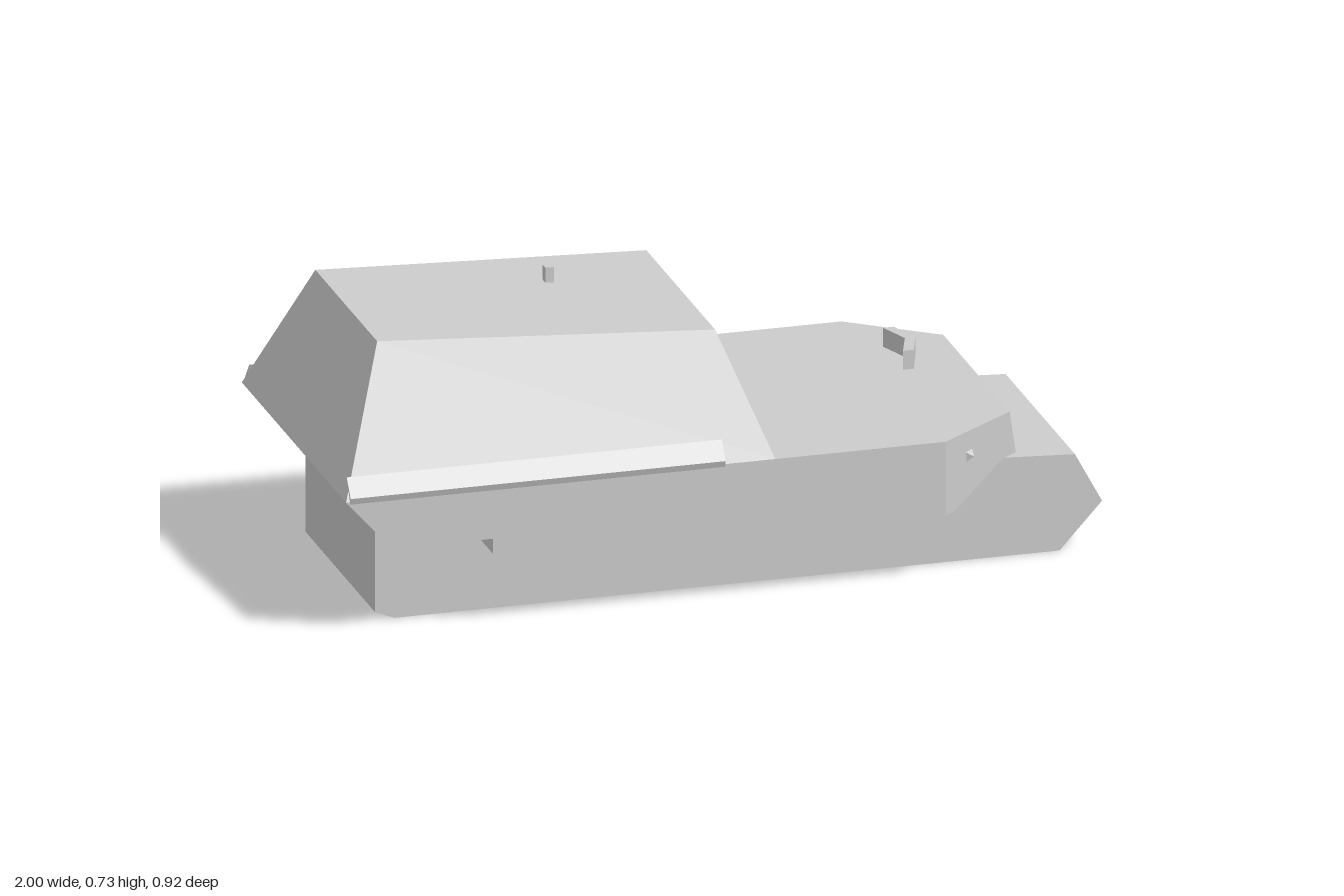
import * as THREE from 'three';

const material = new THREE.MeshStandardMaterial({ color: 0xcccccc, flatShading: true });

function add(group, name, geometry) {
  const mesh = new THREE.Mesh(geometry, material);
  mesh.name = name;
  group.add(mesh);
  return mesh;
}

// Closed solid skinned over a list of rings of [x, y, z] points; faces are turned outward
function loft(rings) {
  const tris = [];
  const n = rings[0].length;
  for (let i = 0; i < rings.length - 1; i++) {
    for (let j = 0; j < n; j++) {
      const k = (j + 1) % n;
      const a = rings[i][j], b = rings[i][k], c = rings[i + 1][k], d = rings[i + 1][j];
      tris.push([a, b, c], [a, c, d]);
    }
  }
  const first = rings[0], last = rings[rings.length - 1];
  for (let j = 1; j < n - 1; j++) {
    tris.push([first[0], first[j + 1], first[j]], [last[0], last[j], last[j + 1]]);
  }
  let volume = 0;
  const [a, b, c] = [0, 1, 2].map(() => new THREE.Vector3());
  for (const t of tris) {
    a.fromArray(t[0]); b.fromArray(t[1]); c.fromArray(t[2]);
    volume += a.dot(b.cross(c));
  }
  const points = tris.flatMap((t) => (volume < 0 ? [t[0], t[2], t[1]] : t)).flat();
  const geometry = new THREE.BufferGeometry();
  geometry.setAttribute('position', new THREE.Float32BufferAttribute(points, 3));
  geometry.computeVertexNormals();
  return geometry;
}

export function createModel() {
  const model = new THREE.Group();
  model.name = 'armouredVehicle';

  // Lower hull: side profile carried across the width
  const hullProfile = [[-0.88, 0.02], [-0.83, 0], [0.89, 0], [1, 0.12], [0.93, 0.25],
    [0.74, 0.26], [-0.88, 0.26]];
  add(model, 'lowerHull', loft([-0.303, 0.303].map((z) => hullProfile.map(([x, y]) => [x, y, z]))));

  // Upper hull halves: stations of x, half width, bottom, top; the rear step differs per side
  const rear = [[-1, 0.455, 0.374, 0.375], [-0.88, 0.455, 0.24, 0.375]];
  const front = [[0.55, 0.455, 0.18, 0.375], [0.58, 0.432, 0.18, 0.375], [0.74, 0.309, 0.26, 0.375],
    [0.765, 0.29, 0.26, 0.375], [0.785, 0.275, 0.26, 0.261]];
  const steps = {
    left: [[-0.62, 0.455, 0.24, 0.375], [-0.62, 0.455, 0.2, 0.375], [-0.51, 0.455, 0.18, 0.375]],
    right: [[-0.51, 0.455, 0.24, 0.375], [-0.51, 0.455, 0.18, 0.375]],
  };
  for (const [side, s] of [['left', 1], ['right', -1]]) {
    const rings = [...rear, ...steps[side], ...front].map(([x, w, lo, hi]) =>
      [[x, lo, 0], [x, lo, s * w], [x, hi, s * w], [x, hi, 0]]);
    add(model, side + 'UpperHull', loft(rings));

    // Narrow lip under the cabin side
    const lip = [[0.368, 0.45], [0.368, 0.455], [0.385, 0.461], [0.43, 0.426]];
    add(model, side + 'CabinLip', loft([-0.99, -0.02].map((x) => lip.map(([y, z]) => [x, y, s * z]))));

    // Small pointed lamp on the bevelled bow corner
    const lamp = add(model, side + 'BowLamp', new THREE.ConeGeometry(0.018, 0.016, 4));
    const normal = new THREE.Vector3(0.61, 0, s * 0.79).normalize();
    lamp.quaternion.setFromUnitVectors(new THREE.Vector3(0, 1, 0), normal);
    lamp.position.set(0.63, 0.31, s * 0.394).addScaledVector(normal, 0.007);
  }

  // Tapered cabin with a roof that falls toward the front
  add(model, 'cabin', loft([
    [[-1, 0.375, -0.455], [0.11, 0.375, -0.455], [0.11, 0.375, 0.455], [-1, 0.375, 0.455]],
    [[-0.865, 0.722, -0.27], [0, 0.674, -0.3], [0, 0.674, 0.3], [-0.865, 0.722, 0.27]],
  ]));

  // Roof periscope
  add(model, 'roofPeriscope', new THREE.BoxGeometry(0.022, 0.05, 0.024)).position.set(-0.31, 0.706, -0.11);

  // Angled driver's vision block on the front deck
  const block = [[0.597, -0.25], [0.625, -0.25], [0.655, -0.163], [0.625, -0.075], [0.597, -0.075], [0.628, -0.163]];
  const shape = new THREE.Shape(block.map(([x, z]) => new THREE.Vector2(x, -z)));
  const vision = new THREE.ExtrudeGeometry(shape, { depth: 0.055, bevelEnabled: false });
  vision.rotateX(-Math.PI / 2);
  add(model, 'visionBlock', vision).position.y = 0.37;

  return model;
}
